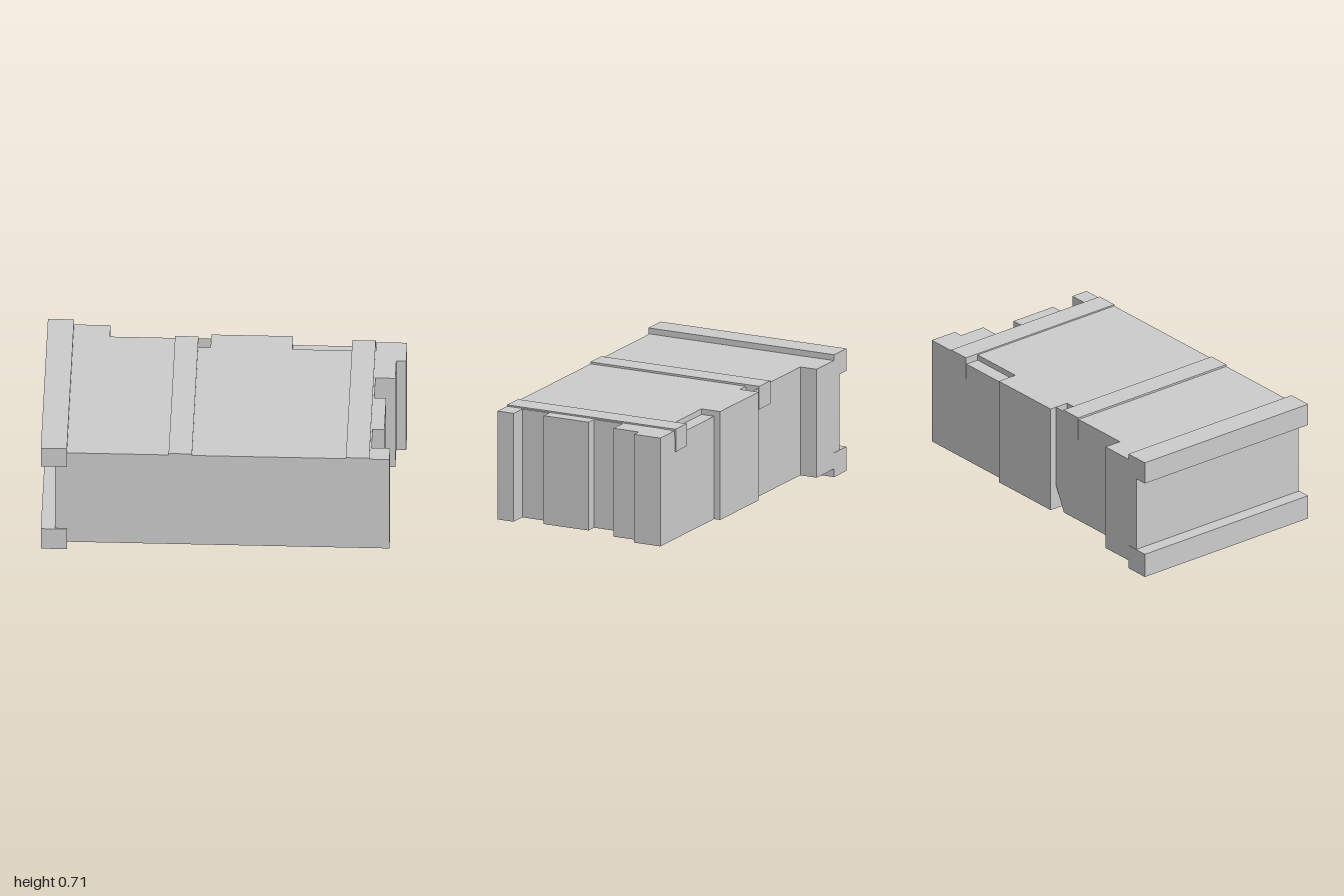
import * as THREE from 'three';

const material = new THREE.MeshStandardMaterial({ color: 0xcccccc, flatShading: true, side: THREE.DoubleSide });

export function createModel() {
  const group = new THREE.Group();

  const add = (name, geometry) => {
    const mesh = new THREE.Mesh(geometry, material);
    mesh.name = name;
    group.add(mesh);
    return mesh;
  };

  // Box given by its min and max corners
  const box = (name, x0, x1, y0, y1, z0, z1) =>
    add(name, new THREE.BoxGeometry(x1 - x0, y1 - y0, z1 - z0))
      .position.set((x0 + x1) / 2, (y0 + y1) / 2, (z0 + z1) / 2);

  // Floor plan of [x, z] points raised from y0 to y1
  const raise = (name, plan, y0, y1) => {
    const shape = new THREE.Shape(plan.map(([x, z]) => new THREE.Vector2(x, -z)));
    const geometry = new THREE.ExtrudeGeometry(shape, { depth: y1 - y0, bevelEnabled: false });
    geometry.rotateX(-Math.PI / 2).translate(0, y0, 0);
    add(name, geometry);
  };

  const bottom = 0.047, top = 0.672, shelf = 0.64;
  const notchL = -0.09, notchR = -0.16, back = -0.48, inner = -0.4;

  // Stepped left end, the front, the right end and the notched back
  const outline = [
    [1, -0.315], [0.945, -0.315], [0.945, -0.157], [0.835, -0.157], [0.835, 0.024],
    [0.9, 0.024], [0.9, 0.307], [0.835, 0.307], [0.835, 0.476], [0.937, 0.476],
    [0.937, 0.578], [-0.922, 0.578], [-0.922, -0.583], [-0.652, -0.583], [-0.652, back],
    [notchR, back], [notchR, inner], [notchL, inner], [notchL, -0.518], [0.365, -0.518],
  ];
  raise('body', [...outline, [0.365, back], [1, back]], bottom, shelf);

  // Upper layer, cut back to leave a shallow shelf at the rear
  raise('bodyTop', [...outline, [0.365, inner], [0.83, inner], [0.83, back], [1, back]], shelf, top);

  // Thin cover over the back notch and the ramp that closes its foot
  const rampTop = 0.19;
  const cover = add('notchCover', new THREE.ShapeGeometry(new THREE.Shape([
    new THREE.Vector2(notchR, bottom), new THREE.Vector2(notchL, rampTop),
    new THREE.Vector2(notchL, top), new THREE.Vector2(notchR, top),
  ])));
  cover.position.z = back;
  const run = notchL - notchR, rise = rampTop - bottom;
  const rampGeometry = new THREE.PlaneGeometry(Math.hypot(run, rise), inner - back)
    .rotateX(-Math.PI / 2).rotateZ(Math.atan2(rise, run));
  add('notchRamp', rampGeometry)
    .position.set((notchL + notchR) / 2, (bottom + rampTop) / 2, (back + inner) / 2);

  // Long rails along the top and bottom of the right end
  box('topRail', -1, -0.855, 0.578, 0.706, -0.585, 0.585);
  box('bottomRail', -1, -0.855, 0, 0.14, -0.585, 0.585);

  // Flat straps over the top, folded down the back
  for (const [x0, x1, y] of [[-0.29, -0.16, 0.683], [0.695, 0.825, 0.68]]) {
    box('strap', x0, x1, shelf, y, -0.484, 0.579);
    box('strapEnd', x0, x1, 0.55, y, -0.484, -0.478);
  }

  return group;
}
